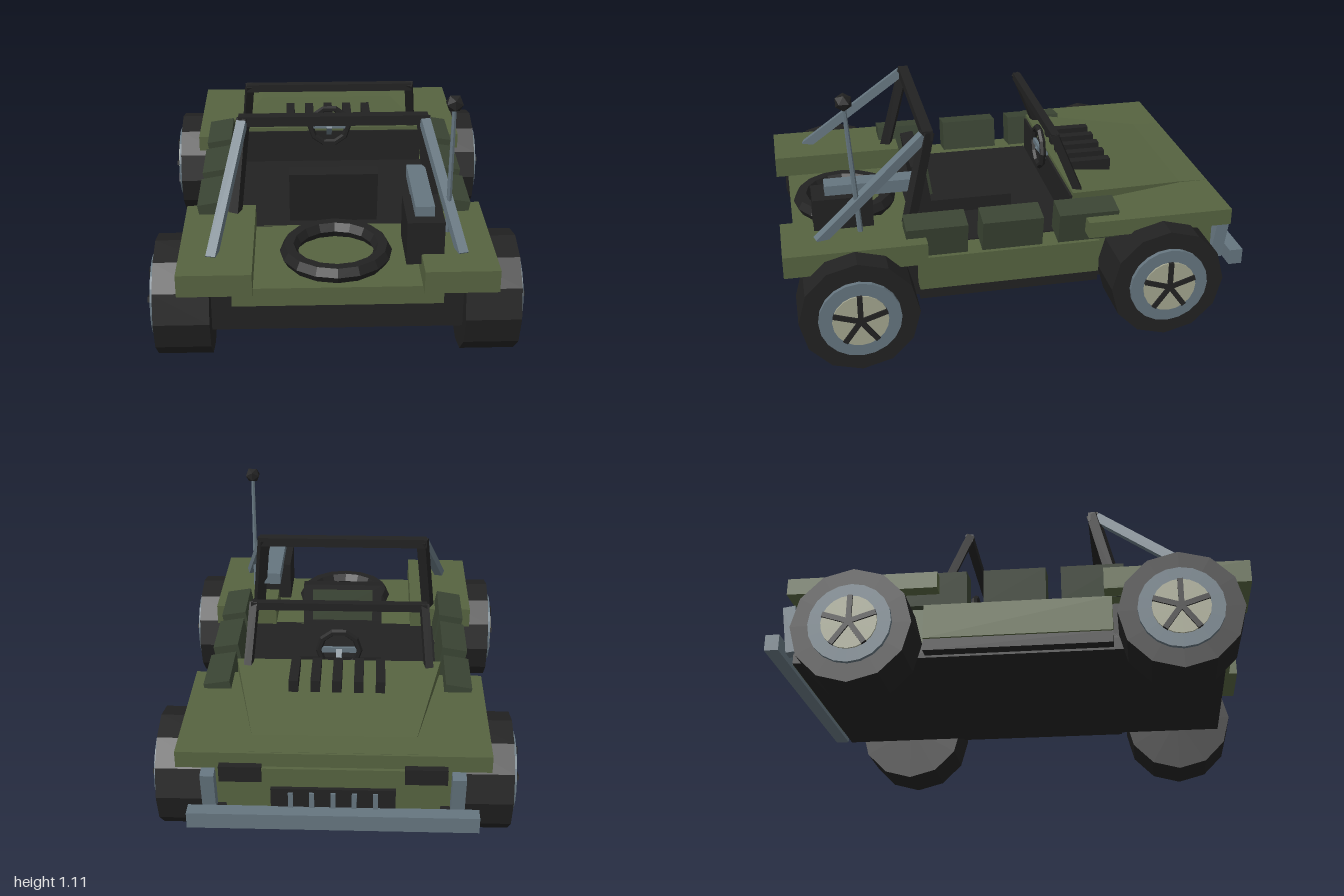
import * as THREE from 'three';

const mat = (name, color) => {
  const m = new THREE.MeshStandardMaterial({ color, flatShading: true });
  m.name = name;
  return m;
};

export function createModel() {
  const green = mat('olive green', 0x566340);
  const darkGreen = mat('dark green', 0x3a4433);
  const black = mat('black', 0x222222);
  const slate = mat('slate metal', 0x65757f);
  const cream = mat('pale hub', 0xa3a58f);

  const root = new THREE.Group();
  root.name = 'buggy';

  const add = (name, geo, material, parent = root) => {
    const m = new THREE.Mesh(geo, material);
    m.name = name;
    parent.add(m);
    return m;
  };
  // Box given by its extents on each axis
  const block = (name, material, [x0, x1], [y0, y1], [z0, z1], parent = root) => {
    const m = add(name, new THREE.BoxGeometry(x1 - x0, y1 - y0, z1 - z0), material, parent);
    m.position.set((x0 + x1) / 2, (y0 + y1) / 2, (z0 + z1) / 2);
    return m;
  };
  // Square bar between two points
  const bar = (name, material, a, b, t) => {
    const p = new THREE.Vector3(...a), q = new THREE.Vector3(...b);
    const m = add(name, new THREE.BoxGeometry(t, t, p.distanceTo(q)), material);
    m.position.copy(p).add(q).multiplyScalar(0.5);
    m.lookAt(q);
    return m;
  };

  // Chassis and body
  block('chassis', black, [-0.505, 0.505], [0.19, 0.26], [-0.9, 0.9]);
  block('sillPlate', black, [-0.56, 0.56], [0.2, 0.25], [-0.34, 0.44]);
  block('rearChassis', black, [-0.505, 0.505], [0.25, 0.395], [0.44, 0.9]);
  block('midBody', green, [-0.57, 0.57], [0.25, 0.4], [-0.34, 0.44]);
  block('frontBody', green, [-0.5, 0.5], [0.25, 0.46], [-0.88, -0.28]);
  block('rearDeck', green, [-0.42, 0.42], [0.325, 0.405], [0.42, 0.945]);
  block('frontFenders', green, [-0.63, 0.63], [0.45, 0.522], [-0.91, -0.275]);
  block('cockpitFloor', black, [-0.452, 0.452], [0.398, 0.405], [-0.24, 0.43]);
  block('dashboard', black, [-0.44, 0.44], [0.4, 0.56], [-0.275, -0.24]);
  block('nosePanel', green, [-0.43, 0.43], [0.22, 0.46], [-0.925, -0.85]);

  // Hood: box tapered in width and rising toward the cockpit
  const hoodGeo = new THREE.BoxGeometry(2, 1, 1, 1, 1, 2);
  const p = hoodGeo.attributes.position;
  for (let i = 0; i < p.count; i++) {
    const s = Math.round((p.getZ(i) + 0.5) * 2);
    const width = [0.335, 0.335, 0.45][s];
    const top = [0.523, 0.526, 0.577][s];
    p.setXYZ(i, p.getX(i) * width, p.getY(i) > 0 ? top : 0.46, [-0.9, -0.78, -0.25][s]);
  }
  hoodGeo.computeVertexNormals();
  add('hood', hoodGeo, green);
  for (let i = -2; i <= 2; i++) {
    const x = i * 0.0925;
    block('hoodVent', black, [x - 0.02, x + 0.02], [0.54, 0.608], [-0.49, -0.285]);
    block('grilleBar', slate, [i * 0.085 - 0.01, i * 0.085 + 0.01], [0.28, 0.36], [-0.95, -0.94]);
  }
  block('grille', black, [-0.25, 0.25], [0.265, 0.375], [-0.942, -0.92]);
  block('frontBumper', slate, [-0.585, 0.585], [0.22, 0.29], [-1, -0.94]);

  // Wheel: tire, rim, hub disc and five spokes
  const wheel = (side, z) => {
    const g = new THREE.Group();
    g.name = 'wheel';
    const disc = (name, r, n, x0, x1, m) => {
      const c = add(name, new THREE.CylinderGeometry(r, r, x1 - x0, n), m, g);
      c.rotation.z = -Math.PI / 2;
      c.position.x = (x0 + x1) / 2;
    };
    disc('tire', 0.248, 12, 0.51, 0.735, black);
    disc('rim', 0.17, 20, 0.7, 0.753, slate);
    disc('hubDisc', 0.115, 20, 0.74, 0.76, cream);
    for (let i = 0; i < 5; i++) {
      const spoke = add('spoke', new THREE.BoxGeometry(0.025, 0.115, 0.022).translate(0, 0.0575, 0), black, g);
      spoke.position.x = 0.755;
      spoke.rotation.x = (i * Math.PI * 2) / 5;
    }
    g.position.set(0, 0.25, z);
    if (side < 0) g.rotation.y = Math.PI;
    root.add(g);
  };

  // Mirrored parts
  for (const s of [-1, 1]) {
    const span = (a, b) => (s > 0 ? [a, b] : [-b, -a]);
    wheel(s, 0.71);
    wheel(s, -0.6);
    block('rearFender', green, span(0.335, 0.63), [0.405, 0.5], [0.41, 1]);
    block('headlight', black, span(0.285, 0.455), [0.405, 0.475], [-0.94, -0.9]);
    bar('bumperPost', slate, [s * 0.5, 0.235, -0.9], [s * 0.5, 0.445, -0.93], 0.055);
    for (const z of [-0.29, 0.04, 0.363]) {
      const pad = add('sidePad', new THREE.BoxGeometry(0.115, 0.14, 0.26), darkGreen);
      pad.position.set(s * 0.512, 0.482, z);
      pad.rotation.z = -s * 0.17;
    }
    bar('windshieldPost', black, [s * 0.4, 0.53, -0.3], [s * 0.372, 0.825, -0.18], 0.035);
    bar('rollBarPost', black, [s * 0.43, 0.42, 0.48], [s * 0.38, 0.89, 0.367], 0.045);
    bar('rollBarBrace', slate, [s * 0.5, 0.49, 0.85], [s * 0.385, 0.875, 0.385], 0.04);
  }
  block('windshieldTopBar', black, [-0.385, 0.385], [0.795, 0.83], [-0.202, -0.167]);
  block('rollBarTop', black, [-0.4, 0.4], [0.857, 0.9], [0.345, 0.39]);

  // Seat
  block('seatCushion', black, [-0.19, 0.19], [0.38, 0.47], [-0.035, 0.36]);
  const seatBack = new THREE.Group();
  seatBack.name = 'seatBack';
  seatBack.position.set(0, 0.4, 0.32);
  seatBack.rotation.x = 0.15;
  block('backrest', black, [-0.19, 0.19], [0, 0.255], [0, 0.06], seatBack);
  block('backrestPad', darkGreen, [-0.145, 0.145], [0.08, 0.23], [-0.015, 0], seatBack);
  root.add(seatBack);

  // Steering wheel
  add('steeringWheel', new THREE.TorusGeometry(0.09, 0.015, 6, 10), black).position.set(0, 0.605, -0.205);
  block('steeringSpoke', slate, [-0.085, 0.085], [0.593, 0.617], [-0.212, -0.198]);
  bar('steeringColumn', slate, [0, 0.605, -0.2], [0, 0.53, -0.27], 0.025);

  // Spare tire on the rear deck
  const spare = add('spareTire', new THREE.TorusGeometry(0.193, 0.038, 6, 16), black);
  spare.rotation.x = Math.PI / 2;
  spare.position.set(0, 0.437, 0.7);

  // Rear equipment box with its top rail
  block('equipmentBox', black, [0.275, 0.425], [0.455, 0.64], [0.61, 0.86]);
  block('equipmentRail', slate, [0.31, 0.388], [0.628, 0.683], [0.41, 0.805]);

  // Antenna
  const rod = add('antennaRod', new THREE.CylinderGeometry(0.009, 0.012, 0.61, 6), slate);
  rod.position.set(0.46, 0.78, 0.69);
  rod.rotation.x = 0.068;
  add('antennaTip', new THREE.IcosahedronGeometry(0.038, 0), black).position.set(0.46, 1.083, 0.71);

  return root;
}
